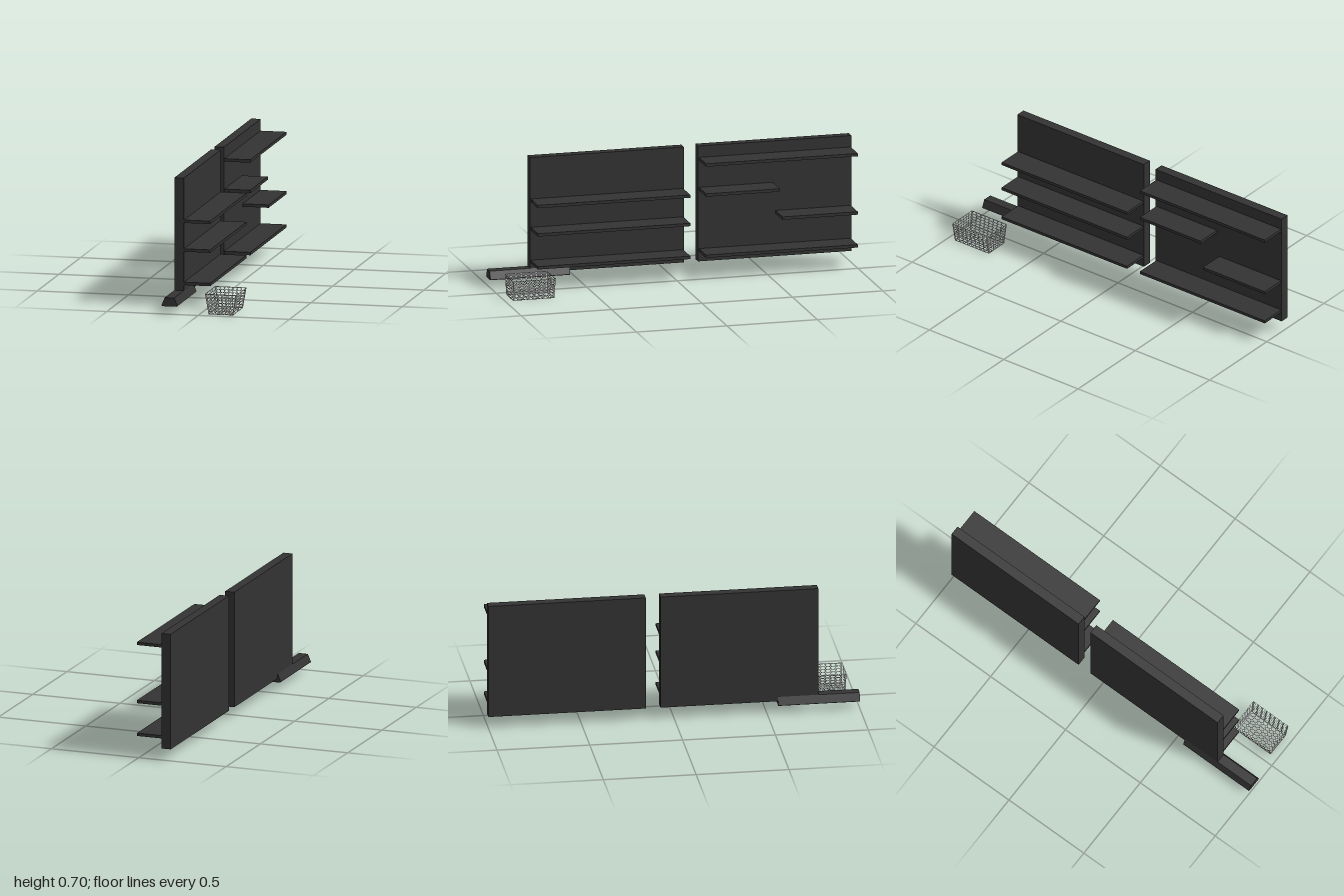
import * as THREE from 'three';

export function createModel() {
  const group = new THREE.Group();
  const dark = new THREE.MeshStandardMaterial({ color: 0x333333 });
  const grey = new THREE.MeshStandardMaterial({ color: 0xcccccc });
  const mesh = new THREE.MeshStandardMaterial({ color: 0xcccccc, side: THREE.DoubleSide });

  function add(name, geometry, material, parent = group) {
    const m = new THREE.Mesh(geometry, material);
    m.name = name;
    parent.add(m);
    return m;
  }
  // Box given by its limits along each axis
  function box(name, [x0, x1], [y0, y1], [z0, z1], material = dark, parent = group) {
    const m = add(name, new THREE.BoxGeometry(x1 - x0, y1 - y0, z1 - z0), material, parent);
    m.position.set((x0 + x1) / 2, (y0 + y1) / 2, (z0 + z1) / 2);
    return m;
  }

  // Two wall panels, each carrying shelves [centre height, z start, z end]
  const units = [
    { name: 'frontUnit', z: [-0.073, 0.777], shelves: [[0.464, -0.07, 0.773], [0.308, -0.07, 0.773], [0.127, -0.07, 0.773]] },
    { name: 'rearUnit', z: [-1, -0.152],
      shelves: [[0.629, -0.996, -0.157], [0.464, -0.565, -0.157], [0.308, -0.996, -0.58], [0.127, -0.996, -0.157]] },
  ];
  for (const u of units) {
    const unit = new THREE.Group();
    unit.name = u.name;
    group.add(unit);
    box('backPanel', [-0.183, -0.131], [0.065, 0.7], u.z, dark, unit);
    for (const [y, z0, z1] of u.shelves) box('shelf', [-0.131, 0.012], [y - 0.008, y + 0.008], [z0, z1], dark, unit);
  }

  // Flared strip with a channel in its underside, closed at both ends
  const strip = new THREE.Group();
  strip.name = 'flaredStrip';
  group.add(strip);
  const outer = [[-0.026, 0.09], [-0.0445, 0.047], [-0.038, 0.043]];
  const channel = [[-0.029, 0.043], [-0.029, 0.057]];
  const profile = (half) => {
    const mirrored = half.map(([x, y]) => [-x, y]).reverse();
    return new THREE.Shape([...half, ...mirrored].map(([x, y]) => new THREE.Vector2(x, y)));
  };
  const extrude = (name, half, z0, z1) => {
    const g = new THREE.ExtrudeGeometry(profile(half), { depth: z1 - z0, bevelEnabled: false });
    add(name, g, dark, strip).position.set(-0.157, 0, z0);
  };
  extrude('stripBody', [...outer, ...channel], 0.57, 0.99);
  extrude('stripEnd', outer, 0.56, 0.57);
  extrude('stripEnd', outer, 0.99, 1);
  for (const x of [-0.171, -0.143]) {
    const tube = add('channelTube', new THREE.CylinderGeometry(0.006, 0.006, 0.42, 12), grey, strip);
    tube.rotation.x = Math.PI / 2;
    tube.position.set(x, 0.052, 0.78);
  }

  // Perforated sheet: unit square with elliptical holes, stretched over corners a, b, c, d
  function sheet(a, b, c, d, cols, rows) {
    const m = 0.02;
    const s = new THREE.Shape([[0, 0], [1, 0], [1, 1], [0, 1]].map((p) => new THREE.Vector2(...p)));
    const w = (1 - 2 * m) / cols, h = (1 - 2 * m) / rows;
    for (let i = 0; i < cols; i++) {
      for (let j = 0; j < rows; j++) {
        const hole = new THREE.Path();
        hole.absellipse(m + (i + 0.5) * w, m + (j + 0.5) * h, w * 0.45, h * 0.44, 0, Math.PI * 2, true);
        s.holes.push(hole);
      }
    }
    const g = new THREE.ShapeGeometry(s, 6);
    const p = g.attributes.position;
    const [A, B, C, D] = [a, b, c, d].map((v) => new THREE.Vector3(...v));
    for (let i = 0; i < p.count; i++) {
      const u = p.getX(i), v = p.getY(i);
      const low = A.clone().lerp(B, u), high = D.clone().lerp(C, u);
      low.lerp(high, v);
      p.setXYZ(i, low.x, low.y, low.z);
    }
    g.computeVertexNormals();
    return g;
  }

  // Basket: sides lean outwards, ends stand nearly upright
  const basket = new THREE.Group();
  basket.name = 'basket';
  group.add(basket);
  const X = 0.114, Z = 0.843;
  const ring = (hx, y, hz) => [[X - hx, y, Z + hz], [X + hx, y, Z + hz], [X + hx, y, Z - hz], [X - hx, y, Z - hz]];
  const bottom = ring(0.067, 0.001, 0.114), top = ring(0.086, 0.112, 0.117);
  for (let i = 0; i < 4; i++) {
    const k = (i + 1) % 4;
    add(i % 2 ? 'basketSide' : 'basketEnd', sheet(bottom[i], bottom[k], top[k], top[i], i % 2 ? 8 : 7, 7), mesh, basket);
  }
  add('basketFloor', sheet(...bottom, 7, 8), mesh, basket);

  return group;
}
